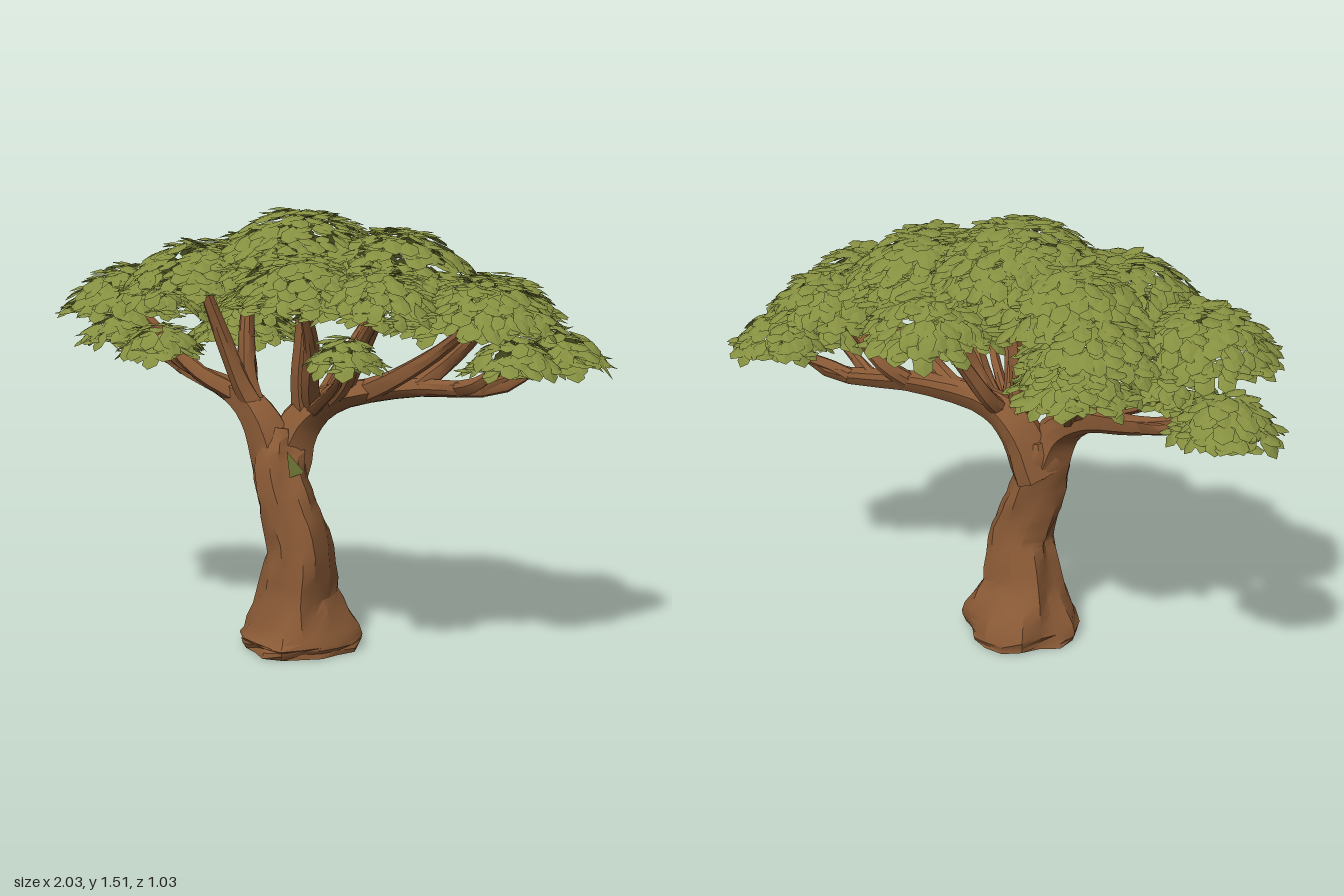
import * as THREE from 'three';
import { toCreasedNormals } from 'three/addons/utils/BufferGeometryUtils.js';

const V = (x, y, z) => new THREE.Vector3(x, y, z);

// small seeded random generator
let seed = 7;
const rand = () => (seed = (seed * 16807) % 2147483647) / 2147483647;
const jitter = (a) => (rand() * 2 - 1) * a;

// sweep a fluted, twisting, tapering limb along a curve; radii are evenly spaced
function limb(curve, radii, steps, sides, flute, twist) {
  const pos = [], idx = [], N = V(1, 0, 0.01);
  for (let i = 0; i <= steps; i++) {
    const t = i / steps, f = t * (radii.length - 1), k = Math.min(Math.floor(f), radii.length - 2);
    const r = THREE.MathUtils.lerp(radii[k], radii[k + 1], f - k);
    const c = curve.getPoint(t), T = curve.getTangent(t);
    N.projectOnPlane(T).normalize();
    const B = T.clone().cross(N);
    for (let j = 0; j < sides; j++) {
      const a = (j / sides) * Math.PI * 2;
      const ridge = Math.cos(4 * a - twist * t) + 0.6 * Math.cos(7 * a - 1 - twist * 1.6 * t);
      const w = r * (1 + flute * ridge + jitter(0.03));
      const p = c.clone().addScaledVector(N, Math.cos(a) * w).addScaledVector(B, Math.sin(a) * w);
      pos.push(...p);
      if (i < steps) {
        const q = i * sides + j, s = i * sides + ((j + 1) % sides);
        idx.push(q, s, s + sides, q, s + sides, q + sides);
      }
    }
  }
  // end caps
  const m = pos.length / 3, o = steps * sides;
  pos.push(...curve.getPoint(0), ...curve.getPoint(1));
  for (let j = 0; j < sides; j++) {
    const n = (j + 1) % sides;
    idx.push(m, n, j, m + 1, o + j, o + n);
  }
  const g = new THREE.BufferGeometry();
  g.setAttribute('position', new THREE.Float32BufferAttribute(pos, 3));
  g.setIndex(idx);
  return toCreasedNormals(g, 0.5);
}

// one folded leaf blade lying along dir, with the given side and normal
function addLeaf(pos, base, dir, side, up, len, wid) {
  const at = (l, w, h) => base.clone().addScaledVector(dir, l * len).addScaledVector(side, w * wid).addScaledVector(up, h * len);
  const root = at(0, 0, 0), tip = at(1, 0, 0), mid = at(0.6, 0, 0.08);
  for (const s of [1, -1]) {
    const e1 = at(0.35, s * 0.45, 0), e2 = at(0.78, s * 0.42, 0);
    for (const tri of [[root, e1, mid], [mid, e1, e2], [mid, e2, tip]]) {
      if (s > 0) tri.reverse();
      for (const p of tri) pos.push(...p);
    }
  }
}

// a flattened cushion of overlapping leaves, with a shallow layer beneath
function leafDome(center, radius) {
  const pos = [], inner = radius - 0.035, h = radius * 0.55;
  for (const under of [false, true]) {
    const n = Math.round(inner * inner * (under ? 1500 : 2800)) + 16;
    for (let i = 0; i < n; i++) {
      const t = Math.sqrt((i + 0.5) / n), a = i * 2.39996 + jitter(0.15);
      const y = under ? 0.005 + (1 - t * t) * h * 0.2 : (1 - Math.pow(t, 2.2)) * h;
      const slope = under ? 0.15 : Math.atan((2.2 * Math.pow(t, 1.2) * h) / inner) - 0.22;
      const pitch = Math.min(slope, 0.7) + jitter(0.25);
      const yaw = a + jitter(0.5), d = V(Math.cos(yaw), 0, Math.sin(yaw)), side = V(-d.z, 0, d.x);
      const dir = d.clone().multiplyScalar(Math.cos(pitch)).setY(-Math.sin(pitch));
      const up = d.clone().multiplyScalar(Math.sin(pitch)).setY(Math.cos(pitch));
      const len = 0.084 + jitter(0.016);
      const base = V(Math.cos(a) * t * inner, y + jitter(0.012), Math.sin(a) * t * inner)
        .add(center).addScaledVector(dir, -0.038);
      addLeaf(pos, base, dir, side, up, len, len * 0.72);
    }
  }
  const g = new THREE.BufferGeometry();
  g.setAttribute('position', new THREE.Float32BufferAttribute(pos, 3));
  g.computeVertexNormals();
  return g;
}

export function createModel() {
  const tree = new THREE.Group();
  tree.name = 'tree';
  const bark = new THREE.MeshStandardMaterial({ color: 0x8a5a36 });
  bark.name = 'bark brown';
  const leaf = new THREE.MeshStandardMaterial({ color: 0x858f40, side: THREE.DoubleSide });
  leaf.name = 'leaf green';
  const add = (name, geo, mat) => {
    const m = new THREE.Mesh(geo, mat);
    m.name = name;
    tree.add(m);
  };

  // trunk with flared foot and S-bend
  const trunk = new THREE.CatmullRomCurve3([
    V(-0.01, 0, 0), V(-0.01, 0.05, 0), V(-0.01, 0.19, 0.015), V(0.008, 0.36, 0.03),
    V(-0.03, 0.48, 0.033), V(-0.068, 0.6, 0.03), V(-0.08, 0.69, 0.01), V(-0.075, 0.76, 0),
  ]);
  add('trunk', limb(trunk, [0.195, 0.2, 0.132, 0.108, 0.102, 0.094, 0.09, 0.06], 24, 18, 0.08, 8), bark);

  // two main boughs forking from the trunk
  const rightBough = new THREE.CatmullRomCurve3([
    V(-0.085, 0.64, 0.02), V(-0.15, 0.79, 0.02), V(-0.28, 0.87, -0.03), V(-0.52, 0.93, -0.12), V(-0.78, 1.04, -0.21),
  ]);
  const leftBough = new THREE.CatmullRomCurve3([
    V(-0.075, 0.62, -0.01), V(-0.01, 0.78, -0.03), V(0.1, 0.865, -0.04), V(0.35, 0.91, -0.1), V(0.65, 0.92, -0.18), V(0.8, 1.03, -0.22),
  ]);
  add('rightBough', limb(rightBough, [0.085, 0.066, 0.045, 0.028, 0.015], 14, 10, 0.09, 4), bark);
  add('leftBough', limb(leftBough, [0.09, 0.07, 0.05, 0.034, 0.025, 0.015], 16, 10, 0.09, 4), bark);

  // leaf clumps: x, rim height, z, radius, and where the branch leaves its bough
  const clumps = {
    lowLeftOuter: [0.826, 1.0, -0.22, 0.187, 0.75],
    lowLeftInner: [0.73, 0.99, -0.05, 0.18, 0.7],
    lowRightOuter: [-0.826, 1.01, -0.21, 0.187, 0.75],
    lowRightInner: [-0.55, 1.0, 0.0, 0.17, 0.5],
    lowRightBack: [-0.32, 1.04, -0.22, 0.23, 0.3],
    lowLeftFront: [0.31, 1.03, 0.34, 0.145, 0.25],
    midRight: [-0.63, 1.14, 0.04, 0.28, 0.45],
    midRightBack: [-0.37, 1.16, -0.22, 0.25, 0.34],
    midLeft: [0.63, 1.13, 0.05, 0.3, 0.5],
    midLeftBack: [0.62, 1.15, -0.2, 0.24, 0.62],
    midBack: [0.17, 1.16, -0.26, 0.26, 0.32],
    upperRight: [-0.31, 1.22, 0.12, 0.31, 0.25],
    upperRightBack: [-0.24, 1.24, -0.08, 0.3, 0.3],
    upperFront: [0.11, 1.2, 0.23, 0.28, 0.28],
    upperLeftFront: [0.36, 1.17, 0.18, 0.28, 0.36],
    upperLeft: [0.31, 1.245, -0.03, 0.34, 0.4],
    crown: [0, 1.3, 0, 0.35, 0.22],
  };
  for (const [name, [x, y, z, radius, t]] of Object.entries(clumps)) {
    const center = V(x, y, z), start = (x < 0 ? rightBough : leftBough).getPoint(t);
    add(name + 'Leaves', leafDome(center, radius), leaf);

    // its branch spreads outward first, then turns up into the leaves
    const path = [0, 0.33, 0.66, 1].map((f) => {
      const bend = f > 0 && f < 1 ? 0.02 : 0;
      const p = start.clone().lerp(center, f).add(V(jitter(bend), 0, jitter(bend)));
      return p.setY(start.y + (y + 0.02 - start.y) * (0.65 * f + 0.35 * f * f));
    });
    const thick = 0.01 + radius * 0.1;
    add(name + 'Branch', limb(new THREE.CatmullRomCurve3(path), [thick, thick * 0.8, thick * 0.65, thick * 0.4], 9, 9, 0.09, 3), bark);
  }

  // single leaf lying on the trunk
  const sprig = new THREE.BufferGeometry().setFromPoints([V(0.0, 0.7, 0.118), V(0.008, 0.61, 0.112), V(0.035, 0.62, 0.05)]);
  sprig.computeVertexNormals();
  add('trunkLeaf', sprig, leaf);

  return tree;
}
